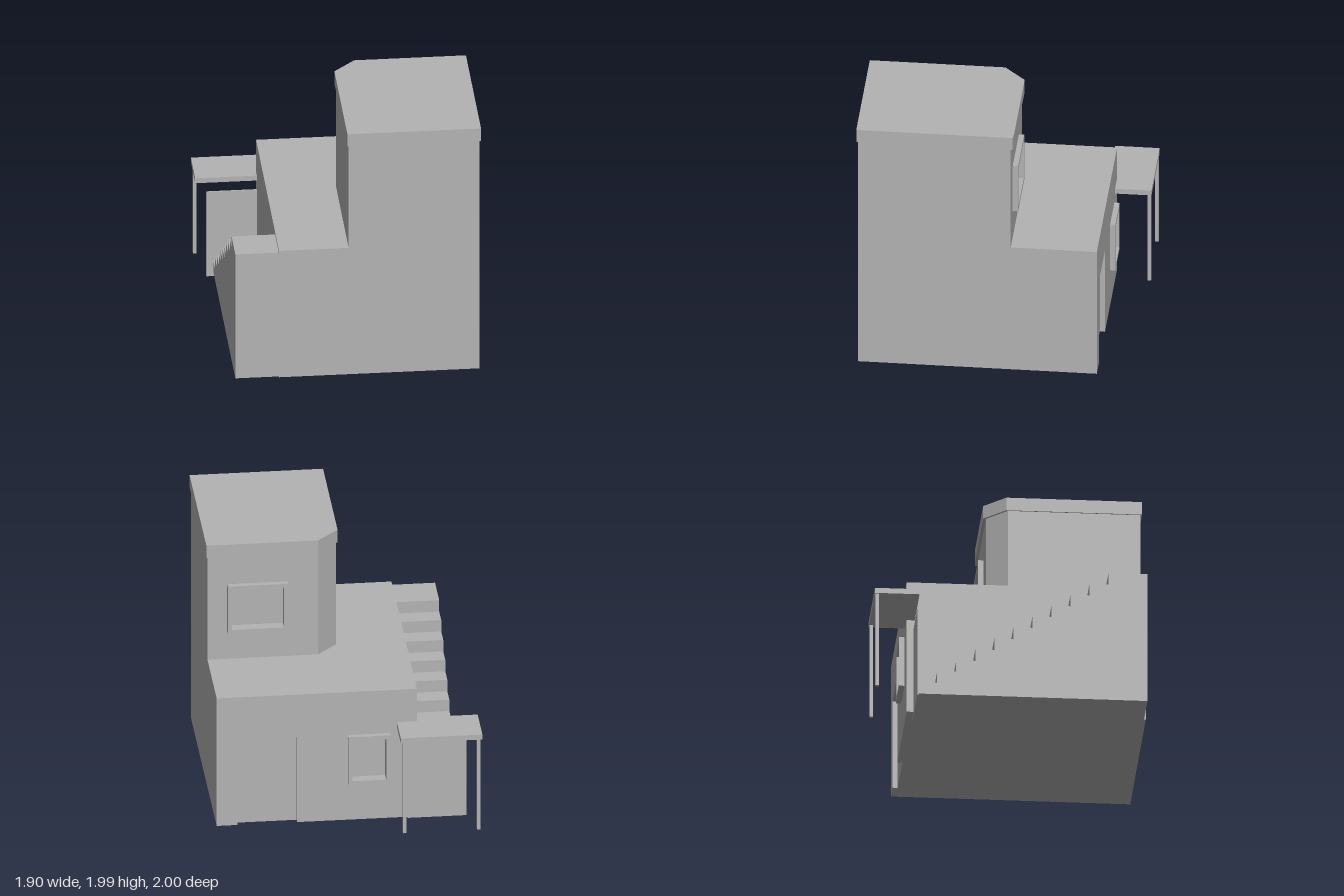
import * as THREE from 'three';

const plaster = new THREE.MeshStandardMaterial({ color: 0xb3b3b3 });
plaster.name = 'plaster grey';

const BASE = 0.034, FLOOR = 1.06, EAVES = 1.888, TOP = 1.988;

export function createModel() {
  const house = new THREE.Group();
  house.name = 'house';

  const add = (name, geometry) => {
    const mesh = new THREE.Mesh(geometry, plaster);
    mesh.name = name;
    house.add(mesh);
  };

  // Box given by its limits on each axis
  const box = (name, x0, x1, y0, y1, z0, z1) =>
    add(name, new THREE.BoxGeometry(x1 - x0, y1 - y0, z1 - z0)
      .translate((x0 + x1) / 2, (y0 + y1) / 2, (z0 + z1) / 2));

  const outline = (points) => new THREE.Shape(points.map(([x, y]) => new THREE.Vector2(x, y)));
  const rect = (x0, x1, y0, y1) => [[x0, y0], [x1, y0], [x1, y1], [x0, y1]];
  const extrude = (shape, depth) => new THREE.ExtrudeGeometry(shape, { depth, bevelEnabled: false });

  // Floor plan of (x, z) points raised from y0 to y1
  const plan = (name, points, y0, y1) =>
    add(name, extrude(outline(points.map(([x, z]) => [x, -z])), y1 - y0)
      .rotateX(-Math.PI / 2).translate(0, y0, 0));

  // Upright panel of (x, y) points with an optional rectangular opening
  const panel = (name, points, hole, z0, z1) => {
    const shape = outline(points);
    if (hole) shape.holes.push(outline(rect(...hole)));
    add(name, extrude(shape, z1 - z0).translate(0, 0, z0));
  };

  // Raised window surround
  const windowFrame = (name, [x0, x1, y0, y1], z0, z1) => {
    const t = 0.03;
    panel(name, rect(x0, x1, y0, y1), [x0 + t, x1 - t, y0 + t, y1 - t], z0, z1);
  };
  const inset = ([x0, x1, y0, y1], t = 0.03) => [x0 + t, x1 - t, y0 + t, y1 - t];

  // Ground floor, with a back wall holding the door recess and a window
  const lowWindow = [-0.312, -0.008, 0.33, 0.715];
  box('groundFloor', -0.508, 0.94, BASE, FLOOR, -0.7, 0.988);
  panel('groundBackWall', [
    [-0.508, BASE], [0.358, BASE], [0.358, 0.72], [0.79, 0.72],
    [0.79, BASE], [0.94, BASE], [0.94, FLOOR], [-0.508, FLOOR],
  ], inset(lowWindow), -0.737, -0.7);
  windowFrame('groundWindowFrame', lowWindow, -0.775, -0.737);

  // Upper floor with one cut corner
  const highWindow = [0.36, 0.797, 1.28, 1.66];
  plan('upperFloor', [
    [-0.005, 0.988], [-0.005, 0.032], [0.142, -0.115],
    [0.142, -0.078], [0.94, -0.078], [0.94, 0.988],
  ], FLOOR, EAVES);
  panel('upperBackWall', rect(0.142, 0.94, FLOOR, EAVES), inset(highWindow), -0.115, -0.078);
  windowFrame('upperWindowFrame', highWindow, -0.154, -0.115);

  // Roof slab, slightly overhanging
  plan('roof', [
    [-0.015, 1], [-0.015, 0.02], [0.142, -0.135], [0.88, -0.135], [0.95, -0.13], [0.95, 1],
  ], EAVES, TOP);

  // Solid outside staircase, climbing towards the front
  const steps = 11, z0 = -0.678, run = 0.1372, rise = (1.04 - BASE) / steps;
  const profile = [[z0, BASE]];
  for (let i = 0; i < steps; i++) {
    const y = BASE + (i + 1) * rise;
    profile.push([z0 + i * run, y], [i === steps - 1 ? 0.975 : z0 + (i + 1) * run, y]);
  }
  profile.push([0.975, BASE]);
  add('staircase', extrude(outline(profile), 0.314).rotateY(-Math.PI / 2).translate(-0.508, 0, 0));

  // Panel closing the foot of the stairs
  box('stairPanel', -0.873, -0.445, 0, 0.685, -0.688, -0.678);

  // Canopy on two posts
  box('canopy', -0.953, -0.363, 0.76, 0.8, -1, -0.678);
  for (const x of [-0.928, -0.392]) box('canopyPost', x - 0.013, x + 0.013, BASE, 0.76, -0.996, -0.97);

  return house;
}
